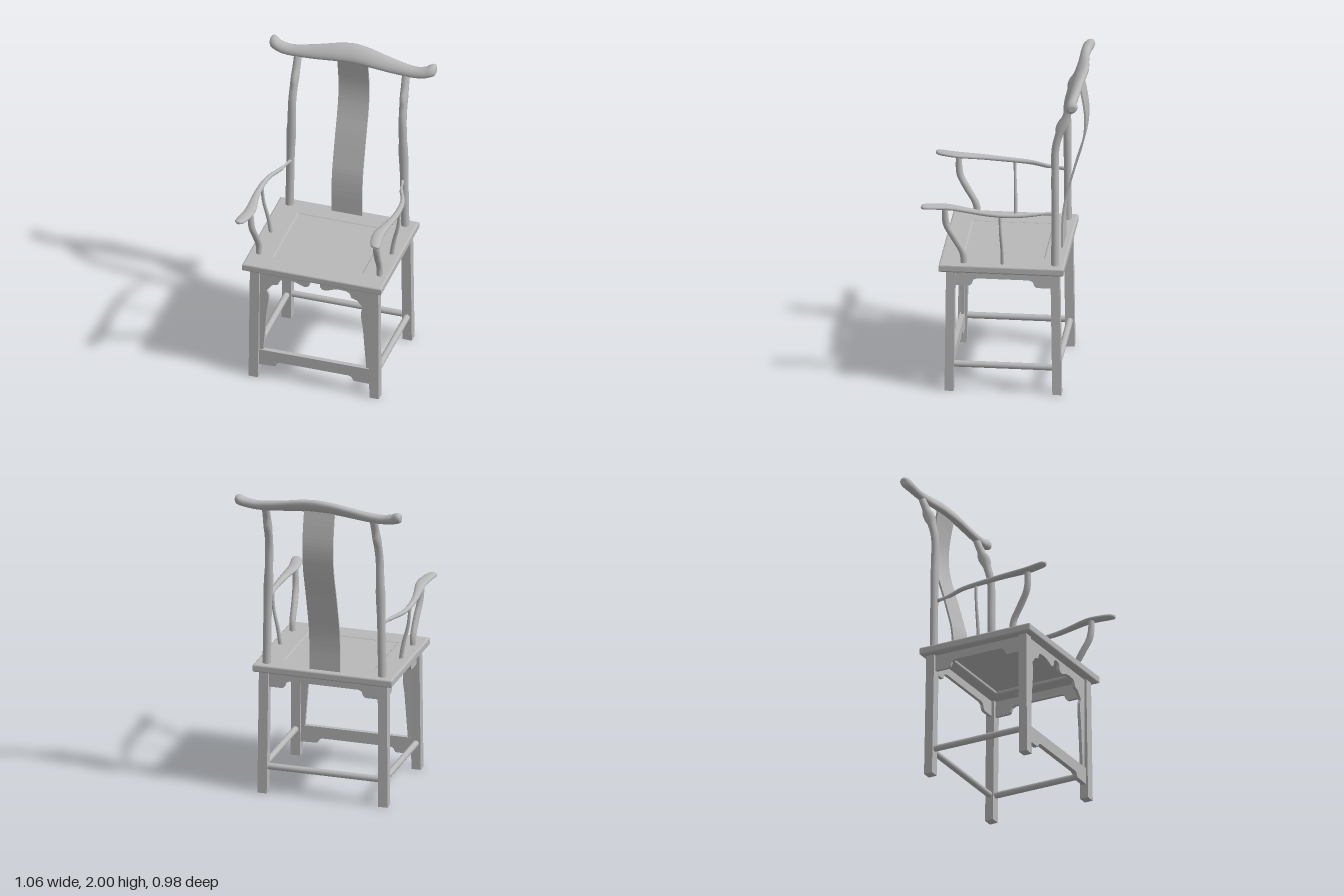
import * as THREE from 'three';

const wood = new THREE.MeshStandardMaterial({ color: 0xb8b8b8 });
wood.name = 'plain wood';
const X = new THREE.Vector3(1, 0, 0), Y = new THREE.Vector3(0, 1, 0), Z = new THREE.Vector3(0, 0, 1);

export function createModel() {
  const chair = new THREE.Group();
  chair.name = 'armchair';

  const add = (name, geo, x = 0, y = 0, z = 0) => {
    const m = new THREE.Mesh(geo, wood);
    m.name = name;
    m.position.set(x, y, z);
    chair.add(m);
    return m;
  };

  // Smooth elliptical loft; each row is [x, y, z, radius along u, radius along v]
  function loft(rows, u, v, steps = 24, sides = 14) {
    const path = new THREE.CatmullRomCurve3(rows.map(r => new THREE.Vector3(r[0], r[1], r[2])));
    const size = new THREE.CatmullRomCurve3(rows.map(r => new THREE.Vector3(r[3], r[4], 0)));
    const dir = path.getPoint(1).sub(path.getPoint(0));
    const turn = new THREE.Vector3().crossVectors(u, v).dot(dir) < 0 ? -1 : 1;
    const pos = [], idx = [];
    const ring = t => {
      const c = path.getPoint(t), s = size.getPoint(t);
      for (let j = 0; j < sides; j++) {
        const a = turn * j / sides * Math.PI * 2;
        const p = c.clone().addScaledVector(u, Math.cos(a) * s.x).addScaledVector(v, Math.sin(a) * s.y);
        pos.push(p.x, p.y, p.z);
      }
    };
    for (let i = 0; i <= steps; i++) ring(i / steps);
    for (let i = 0; i < steps; i++) for (let j = 0; j < sides; j++) {
      const a = i * sides + j, b = i * sides + (j + 1) % sides, c = a + sides, d = b + sides;
      idx.push(a, b, d, a, d, c);
    }
    // end caps with their own vertices
    for (const t of [0, 1]) {
      const k = pos.length / 3;
      ring(t);
      for (let j = 1; j < sides - 1; j++) idx.push(k, k + j + (t ? 0 : 1), k + j + (t ? 1 : 0));
    }
    const g = new THREE.BufferGeometry();
    g.setAttribute('position', new THREE.Float32BufferAttribute(pos, 3));
    g.setIndex(idx);
    g.computeVertexNormals();
    return g;
  }

  const outline = pts => new THREE.Shape(pts.map(p => new THREE.Vector2(p[0], p[1])));
  const mirrored = half => [...half, ...half.filter(p => p[0] !== 0).reverse().map(p => [-p[0], p[1]])];
  const slab = (pts, depth) => new THREE.ExtrudeGeometry(outline(pts), { depth, bevelEnabled: false }).translate(0, 0, -depth / 2);
  const rect = (x0, x1, y0, y1) => [[x0, y0], [x1, y0], [x1, y1], [x0, y1]];

  // Seat frame with softened edge and a sunken panel
  const frame = outline(rect(-0.435, 0.43, -0.372, 0.368));
  frame.holes.push(new THREE.Path(rect(-0.295, 0.288, -0.255, 0.253).map(p => new THREE.Vector2(...p))));
  const seat = new THREE.ExtrudeGeometry(frame, { depth: 0.03, bevelThickness: 0.01, bevelSize: 0.012, bevelSegments: 3 });
  add('seatFrame', seat.rotateX(-Math.PI / 2), 0, 0.8, 0);
  add('seatPanel', new THREE.BoxGeometry(0.6, 0.025, 0.53), 0, 0.8215, 0);

  // Legs, slightly splayed outwards
  for (const sx of [1, -1]) for (const front of [true, false]) {
    const g = new THREE.BoxGeometry(0.06, 0.8, 0.055);
    const p = g.attributes.position;
    for (let i = 0; i < p.count; i++) if (p.getY(i) > 0) {
      p.setX(i, p.getX(i) - sx * 0.006);
      p.setZ(i, p.getZ(i) + (front ? -0.009 : 0.012));
    }
    g.computeVertexNormals();
    add(front ? 'frontLeg' : 'backLeg', g, sx * 0.386, 0.4, front ? 0.323 : -0.337);
  }

  // Carved front apron with long side spandrels
  const apron = mirrored([
    [0, 0.775], [-0.02, 0.772], [-0.033, 0.76], [-0.033, 0.735], [-0.045, 0.72], [-0.065, 0.714], [-0.09, 0.722],
    [-0.12, 0.734], [-0.16, 0.741], [-0.2, 0.738], [-0.222, 0.728], [-0.235, 0.695], [-0.27, 0.685], [-0.29, 0.66],
    [-0.308, 0.64], [-0.297, 0.61], [-0.297, 0.56], [-0.308, 0.48], [-0.33, 0.19], [-0.36, 0.19], [-0.355, 0.795]
  ]);
  add('frontApron', slab(apron, 0.02), 0, 0, 0.318);

  // Front stretcher with bracketed ends
  add('frontStretcher', slab(mirrored([
    [-0.365, 0.198], [-0.365, 0.09], [-0.25, 0.093], [-0.235, 0.12], [-0.215, 0.125]
  ]), 0.03), 0, 0, 0.321);

  // Bracketed side and back aprons
  const bracketed = w => mirrored([
    [-w, 0.795], [-w, 0.69], [-w + 0.095, 0.69], [-w + 0.108, 0.7], [-w + 0.118, 0.728], [-w + 0.14, 0.738]
  ]);
  for (const s of [1, -1]) add('sideApron', slab(bracketed(0.3), 0.02).rotateY(Math.PI / 2), s * 0.38, 0, -0.005);
  add('backApron', slab(bracketed(0.36), 0.02), 0, 0, -0.326);

  // Round stretchers
  for (const s of [1, -1])
    add('sideStretcher', new THREE.CylinderGeometry(0.02, 0.02, 0.64, 16).rotateX(Math.PI / 2), s * 0.385, 0.17, -0.005);
  add('backStretcher', new THREE.CylinderGeometry(0.02, 0.02, 0.75, 16).rotateZ(Math.PI / 2), 0, 0.17, -0.335);

  for (const s of [1, -1]) {
    const side = rows => rows.map(([x, ...r]) => [s * x, ...r]);

    // Back post bending rearward at the top
    add('backPost', loft(side([
      [0.37, 0.82, -0.322, 0.026, 0.024], [0.363, 1.2, -0.322, 0.026, 0.024], [0.356, 1.45, -0.321, 0.026, 0.024],
      [0.353, 1.6, -0.323, 0.025, 0.024], [0.35, 1.7, -0.347, 0.025, 0.026], [0.347, 1.8, -0.383, 0.025, 0.026],
      [0.345, 1.9, -0.422, 0.025, 0.022]
    ]), X, Z));

    // Sweeping arm widening to a rounded hand rest
    add('armRest', loft(side([
      [0.355, 1.172, -0.32, 0.012, 0.013], [0.385, 1.173, -0.2, 0.012, 0.013], [0.425, 1.176, -0.1, 0.014, 0.014],
      [0.438, 1.18, 0, 0.018, 0.014], [0.437, 1.187, 0.1, 0.02, 0.015], [0.427, 1.198, 0.2, 0.025, 0.015],
      [0.413, 1.208, 0.3, 0.033, 0.015], [0.412, 1.211, 0.36, 0.036, 0.015], [0.426, 1.214, 0.44, 0.035, 0.015],
      [0.434, 1.215, 0.475, 0.03, 0.014], [0.437, 1.215, 0.492, 0.013, 0.008]
    ]), X, Y, 40));

    // Curved front support of the arm
    add('armPost', loft(side([
      [0.385, 0.82, 0.235, 0.019, 0.019], [0.386, 0.9, 0.24, 0.019, 0.022], [0.39, 1.0, 0.293, 0.02, 0.024],
      [0.398, 1.09, 0.34, 0.02, 0.022], [0.405, 1.205, 0.35, 0.019, 0.018]
    ]), X, Z));

    // Slender middle spindle
    add('armSpindle', loft(side([
      [0.383, 0.82, -0.002, 0.014, 0.011], [0.402, 0.94, 0, 0.013, 0.01], [0.43, 1.06, 0.006, 0.011, 0.009],
      [0.44, 1.18, 0.009, 0.01, 0.008]
    ]), X, Z, 16, 10));
  }

  // Curved back splat
  const spine = new THREE.CatmullRomCurve3([
    [-0.335, 0.82], [-0.336, 1.0], [-0.348, 1.12], [-0.375, 1.23], [-0.41, 1.36], [-0.452, 1.5],
    [-0.472, 1.6], [-0.476, 1.7], [-0.464, 1.8], [-0.438, 1.93]
  ].map(([z, y]) => new THREE.Vector3(z, y, 0))).getPoints(36);
  const strip = [...spine.map(p => [-p.x - 0.006, p.y]), ...spine.reverse().map(p => [-p.x + 0.006, p.y])];
  add('backSplat', slab(strip, 0.195).rotateY(Math.PI / 2), -0.007, 0, 0);

  // Yoke-shaped crest rail, tilted back, with upturned ends
  const crest = [
    [0.53, 1.936, -0.442, 0.02, 0.016], [0.522, 1.935, -0.441, 0.036, 0.027], [0.5, 1.931, -0.437, 0.043, 0.032],
    [0.465, 1.917, -0.427, 0.038, 0.029], [0.4, 1.907, -0.423, 0.036, 0.027], [0.3, 1.914, -0.427, 0.042, 0.027],
    [0.2, 1.928, -0.431, 0.05, 0.027], [0.1, 1.943, -0.437, 0.058, 0.029]
  ];
  const rail = [...crest, [0, 1.95, -0.442, 0.062, 0.03], ...crest.slice().reverse().map(([x, ...r]) => [-x, ...r])];
  add('crestRail', loft(rail, new THREE.Vector3(0, 0.72, -0.69), new THREE.Vector3(0, 0.69, 0.72), 64, 18));

  return chair;
}
